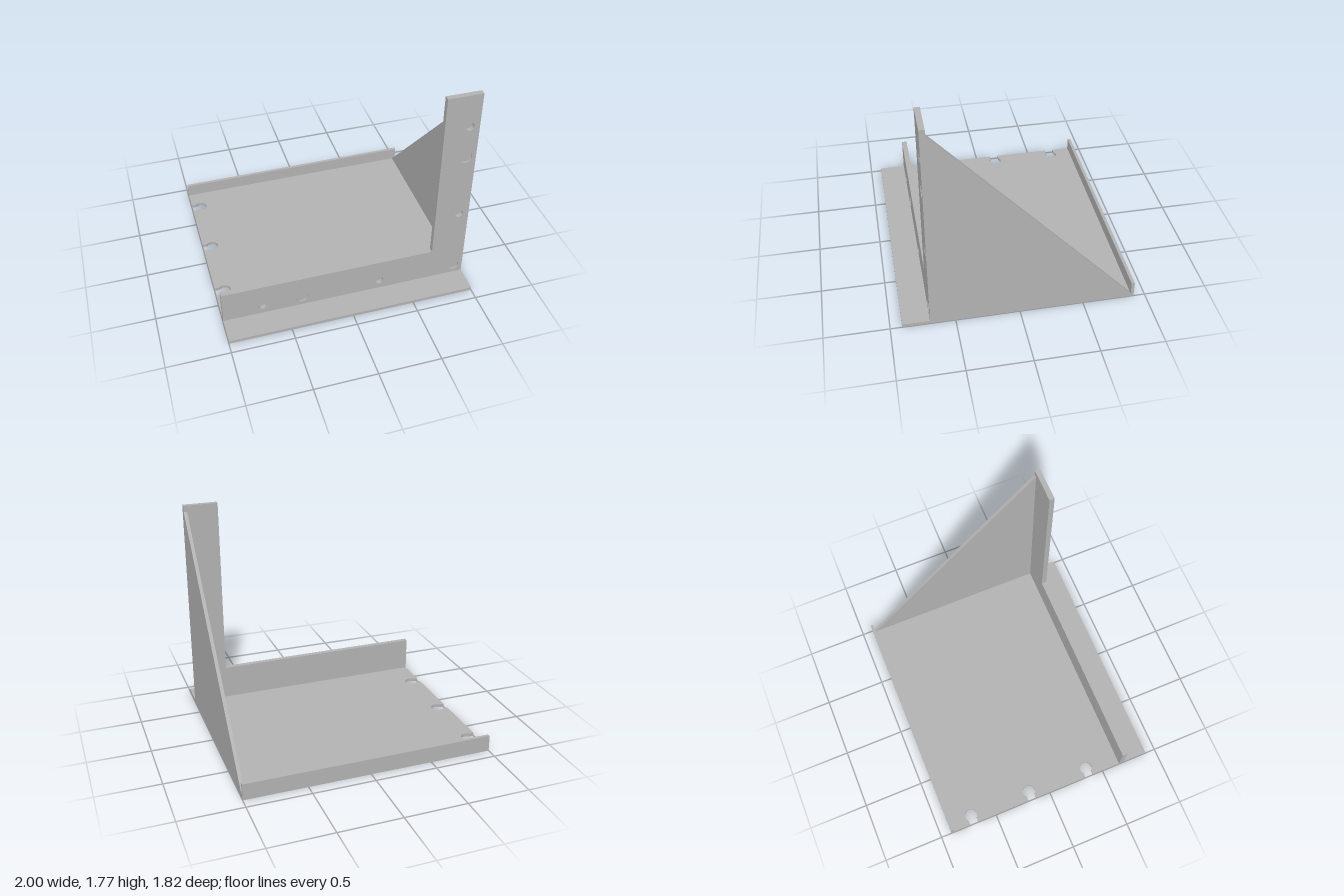
import * as THREE from 'three';

const T = 0.027;                     // sheet thickness
const FRONT = 0.697, BACK = 0.655;   // faces of the upright plate
const END = 0.91;                    // half depth of the base

const steel = new THREE.MeshStandardMaterial({ color: 0xb2b2b2 });
steel.name = 'plain grey';

function add(parent, name, geometry) {
  const mesh = new THREE.Mesh(geometry, steel);
  mesh.name = name;
  parent.add(mesh);
  return mesh;
}

function extrude(shape, depth) {
  return new THREE.ExtrudeGeometry(shape, { depth, bevelEnabled: false, curveSegments: 32 });
}

const polygon = (points) => new THREE.Shape(points.map(([x, y]) => new THREE.Vector2(x, y)));

// Base sheet with three keyhole slots along its -x edge
function makeBase() {
  const shape = new THREE.Shape();
  shape.moveTo(-1, -END);
  shape.lineTo(1, -END);
  shape.lineTo(1, END);
  shape.lineTo(-1, END);
  const r = 0.052, neck = 0.037, a = Math.asin(neck / r);
  for (const z of [-0.7, -0.163, 0.372]) {
    shape.lineTo(-1, -z + neck);
    shape.absarc(-0.924, -z, r, Math.PI - a, Math.PI + a, true);
    shape.lineTo(-1, -z - neck);
  }
  shape.closePath();
  return extrude(shape, T).rotateX(-Math.PI / 2);
}

// Blind holes: x, y, radius, depth
const SMALL = [0.035, 0.034], LARGE = [0.048, 0.014];
const HOLES = [
  [-0.68, 0.107, ...SMALL], [-0.36, 0.107, ...LARGE], [0.28, 0.107, ...SMALL],
  [0.92, 0.107, ...LARGE], [0.92, 0.66, ...SMALL], [0.92, 1.215, ...LARGE], [0.92, 1.495, ...SMALL],
];

// L-shaped upright plate, each hole closed by a plug at the rear
function makeUpright() {
  const group = new THREE.Group();
  group.name = 'uprightPlate';
  const shape = polygon([[-1, T], [1, T], [1, 1.772], [0.722, 1.772], [0.722, 0.303], [-1, 0.303]]);
  for (const [x, y, r] of HOLES) {
    const hole = new THREE.Path();
    hole.absarc(x, y, r, 0, Math.PI * 2, true);
    shape.holes.push(hole);
  }
  add(group, 'plateBody', extrude(shape, FRONT - BACK)).position.z = BACK;
  for (const [x, y, r, depth] of HOLES) {
    const h = FRONT - BACK - depth;
    const floor = new THREE.CylinderGeometry(r, r, h, 32).rotateX(Math.PI / 2);
    add(group, 'holeFloor', floor).position.set(x, y, BACK + h / 2);
  }
  return group;
}

export function createModel() {
  const model = new THREE.Group();
  model.name = 'angleBracket';

  add(model, 'baseSheet', makeBase());
  model.add(makeUpright());

  // Low lip along the rear edge
  const lipHeight = 0.133 - T;
  add(model, 'rearLip', new THREE.BoxGeometry(2, lipHeight, 0.025))
    .position.set(0, T + lipHeight / 2, -END + 0.0125);

  // Triangular side web bracing the column
  const web = polygon([[-0.885, T], [BACK, T], [BACK, 1.722]]);
  add(model, 'sideWeb', extrude(web, T).rotateY(-Math.PI / 2)).position.x = 1;

  return model;
}
